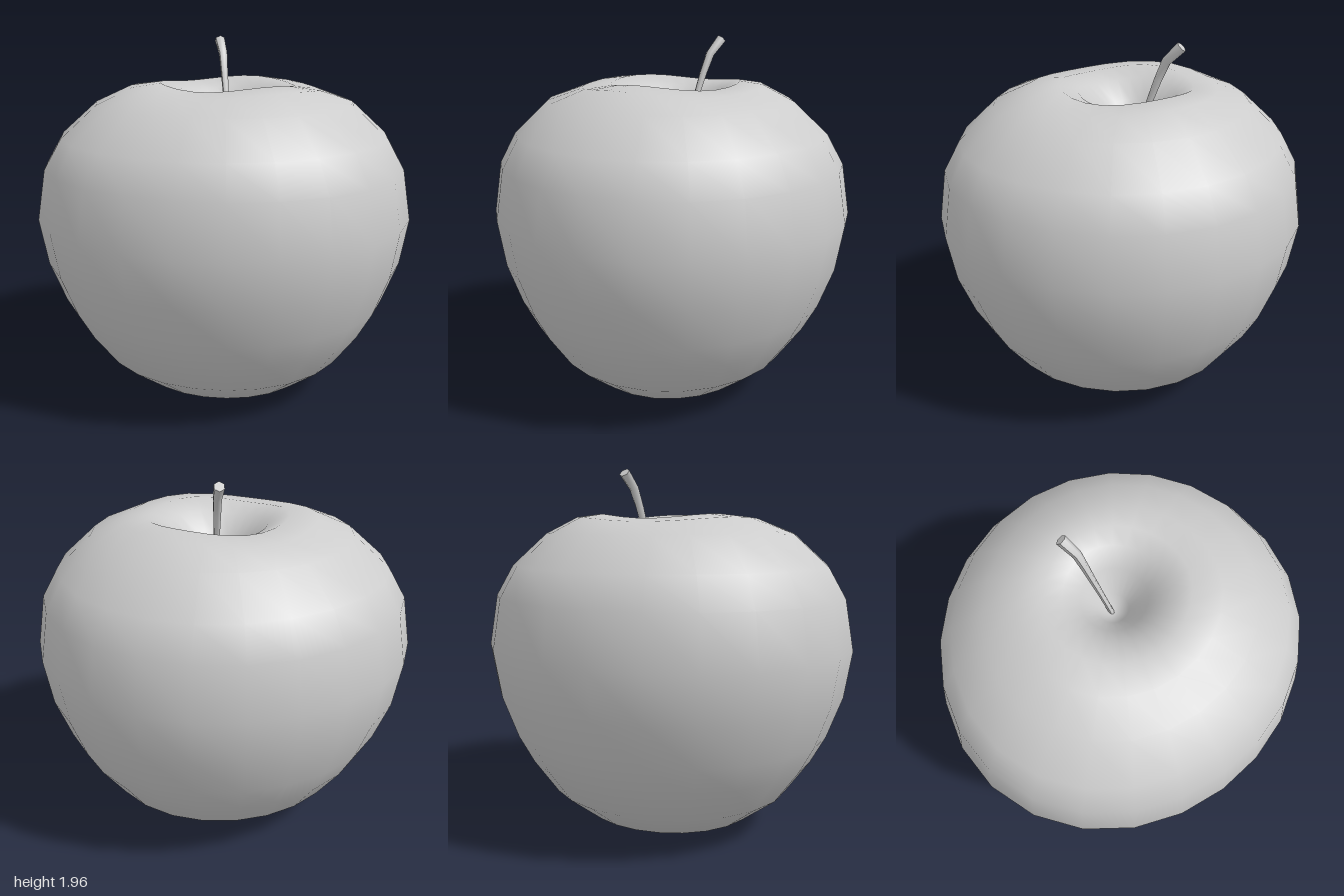
import * as THREE from 'three';
import { mergeVertices } from 'three/addons/utils/BufferGeometryUtils.js';

const skin = new THREE.MeshStandardMaterial({ color: 0xcccccc });
skin.name = 'plain grey';

// Fruit body: a turned profile, made slightly irregular by a rule
function makeBody() {
  const profile = [
    [0, 0.13], [0.1, 0.11], [0.2, 0.045], [0.31, 0.012], [0.48, 0.085], [0.67, 0.235],
    [0.8, 0.42], [0.88, 0.57], [0.96, 0.79], [1, 1.04], [0.955, 1.31], [0.865, 1.47],
    [0.68, 1.64], [0.5, 1.715], [0.36, 1.732], [0.26, 1.69], [0.17, 1.6], [0.08, 1.46], [0, 1.38],
  ].map(([r, y]) => new THREE.Vector2(r, y));
  let geo = new THREE.LatheGeometry(profile, 24);
  const pos = geo.attributes.position;
  for (let i = 0; i < pos.count; i++) {
    let x = pos.getX(i), y = pos.getY(i), z = pos.getZ(i);
    const r = Math.hypot(x, z), a = Math.atan2(z, x);
    // uneven outline around the fruit
    const lobe = 1 - 0.025 * Math.sin(2 * a) - 0.011 * (Math.cos(a) - Math.cos(3 * a));
    x *= lobe;
    z *= lobe;
    if (y > 1.3 && r < 0.6) {
      // stem hollow sits a little off centre, with a gently wavy rim
      const k = 1 - r / 0.6;
      x -= 0.04 * k;
      z -= 0.07 * k;
      y += 0.012 * Math.min(1, r / 0.3) * Math.cos(3 * a - 0.4);
    }
    if (y < 0.2 && r > 0.15 && r < 0.4) y += 0.012 * (1 + Math.cos(4 * a + 2.6));
    pos.setXYZ(i, x, y, z);
  }
  // weld the seam so the shading stays smooth all round
  geo.deleteAttribute('uv');
  geo.deleteAttribute('normal');
  geo = mergeVertices(geo, 1e-4);
  geo.computeVertexNormals();
  const mesh = new THREE.Mesh(geo, skin);
  mesh.name = 'fruitBody';
  return mesh;
}

// Stem: a thin cylinder bent along a curve and flared at the tip
function makeStem() {
  const path = new THREE.CatmullRomCurve3([
    [-0.035, 1.36, -0.065], [-0.1, 1.58, -0.105], [-0.15, 1.74, -0.135],
    [-0.192, 1.87, -0.165], [-0.262, 1.953, -0.205],
  ].map((p) => new THREE.Vector3(...p)));
  const geo = new THREE.CylinderGeometry(1, 1, 1, 6, 6);
  const pos = geo.attributes.position;
  const up = new THREE.Vector3(0, 1, 0);
  const turn = new THREE.Quaternion();
  const v = new THREE.Vector3();
  for (let i = 0; i < pos.count; i++) {
    const t = THREE.MathUtils.clamp(pos.getY(i) + 0.5, 0, 1);
    const radius = 0.014 + 0.015 * t * t;
    turn.setFromUnitVectors(up, path.getTangentAt(t));
    v.set(pos.getX(i) * radius, 0, pos.getZ(i) * radius).applyQuaternion(turn).add(path.getPointAt(t));
    pos.setXYZ(i, v.x, v.y, v.z);
  }
  geo.computeVertexNormals();
  const mesh = new THREE.Mesh(geo, skin);
  mesh.name = 'stem';
  return mesh;
}

export function createModel() {
  const group = new THREE.Group();
  group.name = 'apple';
  group.add(makeBody(), makeStem());
  return group;
}
